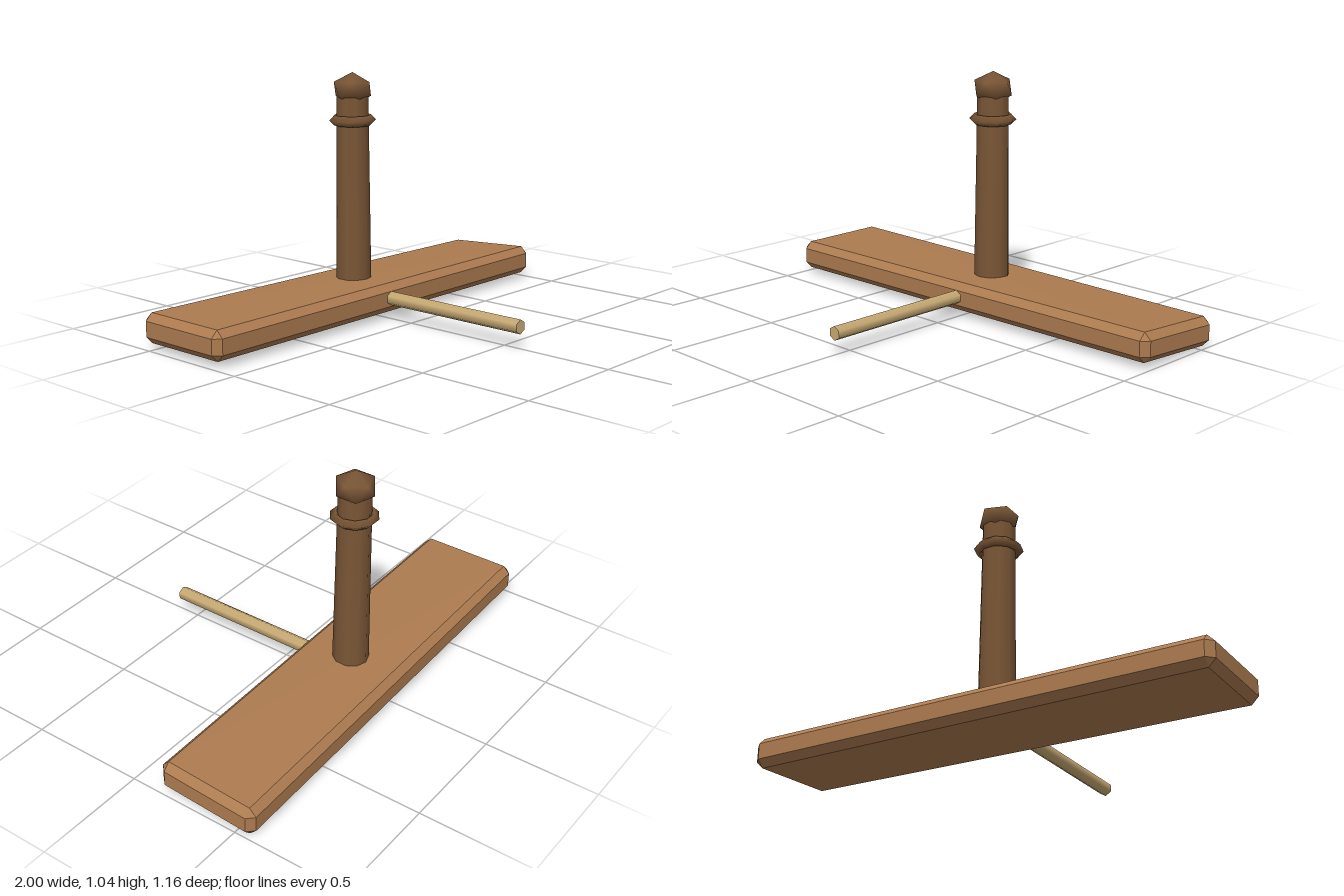
import * as THREE from 'three';
import { ConvexGeometry } from 'three/addons/geometries/ConvexGeometry.js';
import { mergeVertices } from 'three/addons/utils/BufferGeometryUtils.js';

const wood = (color) => new THREE.MeshStandardMaterial({ color });
const HANDLE_Z = -0.334;

// Chamfered plank, slightly skewed along its length, with one corner sagging
function plankGeometry() {
  const half = [1, 0.063, 0.225], bevel = 0.03, points = [];
  for (const sx of [-1, 1]) for (const sy of [-1, 1]) for (const sz of [-1, 1]) {
    for (let face = 0; face < 3; face++) {
      const [x, y, z] = [sx, sy, sz].map((s, i) => s * (half[i] - (i === face ? 0 : bevel)));
      const sag = 0.024 * (1 + sx) / 2 * (1 - sz) / 2;
      points.push(new THREE.Vector3(x, 0.087 + y - sag, -0.3375 - 0.0175 * x + z));
    }
  }
  return new ConvexGeometry(points);
}

// Squashed icosahedron standing on a point, with smooth normals
function knobGeometry() {
  let geo = new THREE.IcosahedronGeometry(0.0894, 0);
  geo.rotateZ(-Math.atan(2 / (1 + Math.sqrt(5))));
  geo.scale(1, 0.8, 1);
  geo.deleteAttribute('normal');
  geo.deleteAttribute('uv');
  geo = mergeVertices(geo, 1e-4);
  geo.computeVertexNormals();
  return geo;
}

export function createModel() {
  const group = new THREE.Group();
  const add = (name, geometry, material, y, z) => {
    const mesh = new THREE.Mesh(geometry, material);
    mesh.name = name;
    mesh.position.set(0, y, z);
    group.add(mesh);
  };
  const dark = wood(0x7a5636);

  add('plank', plankGeometry(), wood(0xad7b50), 0, 0);

  // Tapered post with its collar and knob
  add('post', new THREE.CylinderGeometry(0.068, 0.0775, 0.9, 10), dark, 0.51, HANDLE_Z);
  add('collar', new THREE.TorusGeometry(0.079, 0.0225, 4, 10).rotateX(Math.PI / 2), dark, 0.838, HANDLE_Z);
  add('knob', knobGeometry(), dark, 0.971, HANDLE_Z);

  // Rod running forward out of the plank
  add('rod', new THREE.CylinderGeometry(0.0305, 0.0305, 0.78, 6).rotateX(Math.PI / 2), wood(0xc9ab74), 0.09, 0.19);

  return group;
}
